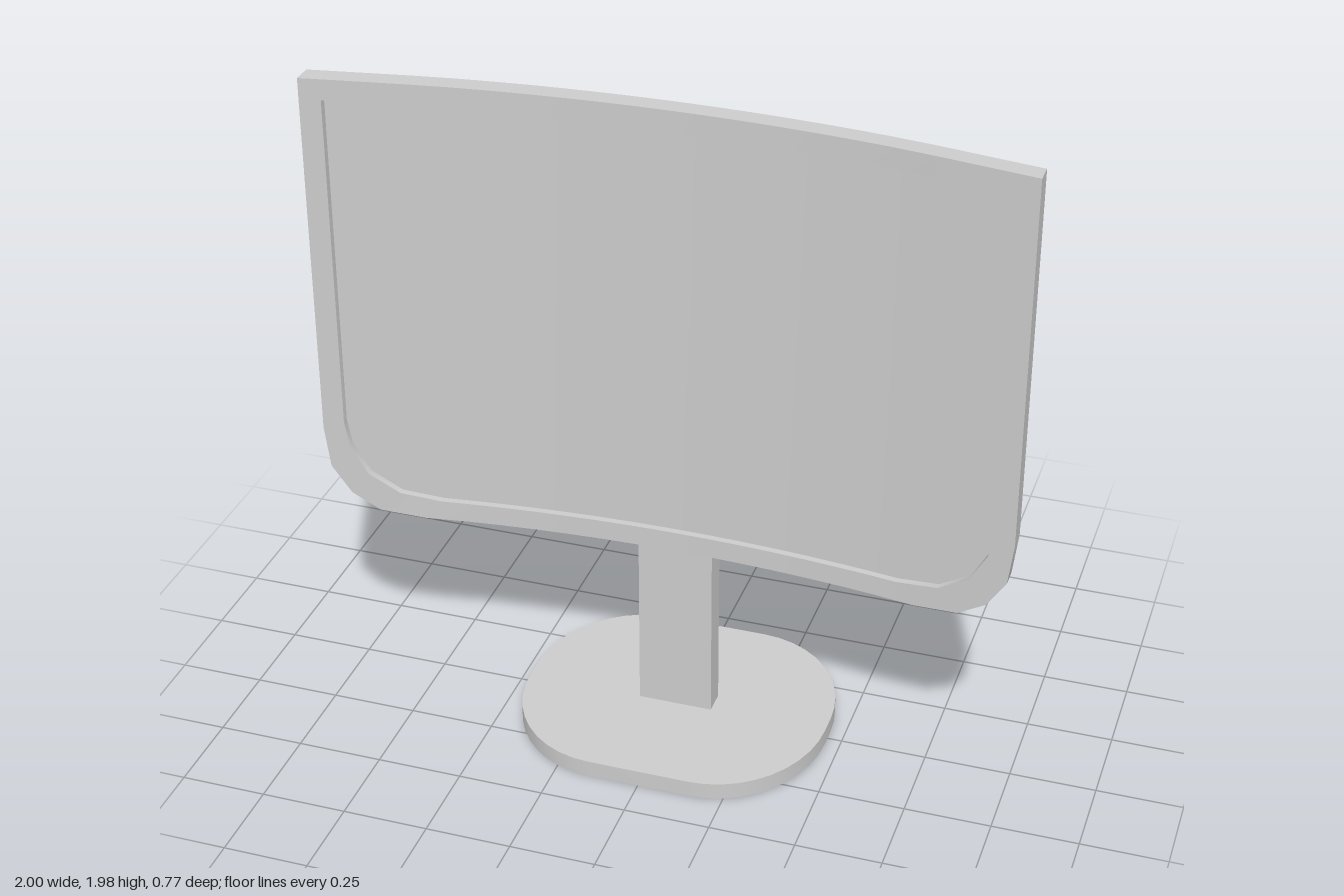
import * as THREE from 'three';
import { toCreasedNormals } from 'three/addons/utils/BufferGeometryUtils.js';

const material = new THREE.MeshStandardMaterial({ color: 0xcccccc });

function addMesh(parent, name, geometry) {
  const mesh = new THREE.Mesh(geometry, material);
  mesh.name = name;
  parent.add(mesh);
  return mesh;
}

// Depth of the curved back at a given x: a shallow bow with straight outer ends
function bow(x) {
  const a = Math.abs(x);
  return a < 0.67 ? 0.03 + 0.107 * a * a : 0.078 + (a - 0.67) * 0.173;
}

// Mirrors the left corner points and joins them along the bottom; returns [x, bottomY] columns
function makeColumns(corner, bottom) {
  const middle = [];
  for (let k = -6; k <= 6; k++) middle.push([k / 10, bottom]);
  return [...corner, ...middle, ...corner.map(([x, y]) => [-x, y]).reverse()];
}

// Closed counterclockwise loop (bottom left to right, then top right to left)
function makeLoop(columns, top, offset) {
  const point = (x, y) => new THREE.Vector3(x, y, bow(x) + offset);
  return [
    ...columns.map(([x, y]) => point(x, y)),
    ...columns.map(([x]) => point(x, top)).reverse(),
  ];
}

function quadsToGeometry(quads) {
  const points = quads.flatMap(([a, b, c, d]) => [a, b, c, a, c, d]);
  const geometry = new THREE.BufferGeometry().setFromPoints(points);
  return toCreasedNormals(geometry, 0.6);
}

// Band of quads between two matching loops
function band(a, b) {
  return a.map((p, i) => {
    const j = (i + 1) % a.length;
    return [p, a[j], b[j], b[i]];
  });
}

// Vertical strips filling a loop, facing forwards or backwards
function panel(loop, backwards = false) {
  const quads = [];
  const last = loop.length - 1;
  for (let i = 0; i < loop.length / 2 - 1; i++) {
    const quad = [loop[i], loop[i + 1], loop[last - i - 1], loop[last - i]];
    quads.push(backwards ? quad.reverse() : quad);
  }
  return quads;
}

// Rounded base outline: four elliptical corners joined by short straight runs
function baseShape() {
  const points = [];
  for (let q = 0; q < 4; q++) {
    const sx = q === 0 || q === 3 ? 1 : -1;
    const sy = q < 2 ? 1 : -1;
    for (let i = 0; i <= 10; i++) {
      const t = (q + i / 10) * Math.PI / 2;
      points.push(new THREE.Vector2(
        sx * 0.15 + 0.307 * Math.cos(t),
        sy * 0.03 + 0.353 * Math.sin(t)));
    }
  }
  return new THREE.Shape(points);
}

export function createModel() {
  const model = new THREE.Group();
  model.name = 'monitor';

  // Curved display with a recessed screen
  const outer = makeColumns(
    [[-1, 0.9], [-0.985, 0.775], [-0.93, 0.69], [-0.85, 0.638], [-0.72, 0.622]], 0.622);
  const inner = makeColumns(
    [[-0.94, 0.92], [-0.927, 0.845], [-0.878, 0.757], [-0.79, 0.7], [-0.67, 0.682]], 0.682);
  const back = makeLoop(outer, 1.975, 0);
  const front = makeLoop(outer, 1.975, 0.06);
  const rim = makeLoop(inner, 1.915, 0.06);
  const recess = makeLoop(inner, 1.915, 0.04);

  const display = new THREE.Group();
  display.name = 'display';
  model.add(display);
  addMesh(display, 'housing', quadsToGeometry([
    ...panel(back, true), ...band(back, front), ...band(front, rim), ...band(rim, recess),
  ]));
  addMesh(display, 'screen', quadsToGeometry(panel(recess)));

  // Upright post behind the display
  const post = addMesh(model, 'standPost', new THREE.BoxGeometry(0.22, 1.485, 0.073));
  post.position.set(0, 0.7825, 0);

  // Flat rounded foot
  const foot = new THREE.ExtrudeGeometry(baseShape(), { depth: 0.05, bevelEnabled: false });
  foot.rotateX(-Math.PI / 2);
  addMesh(model, 'base', toCreasedNormals(foot, 0.6));

  return model;
}
